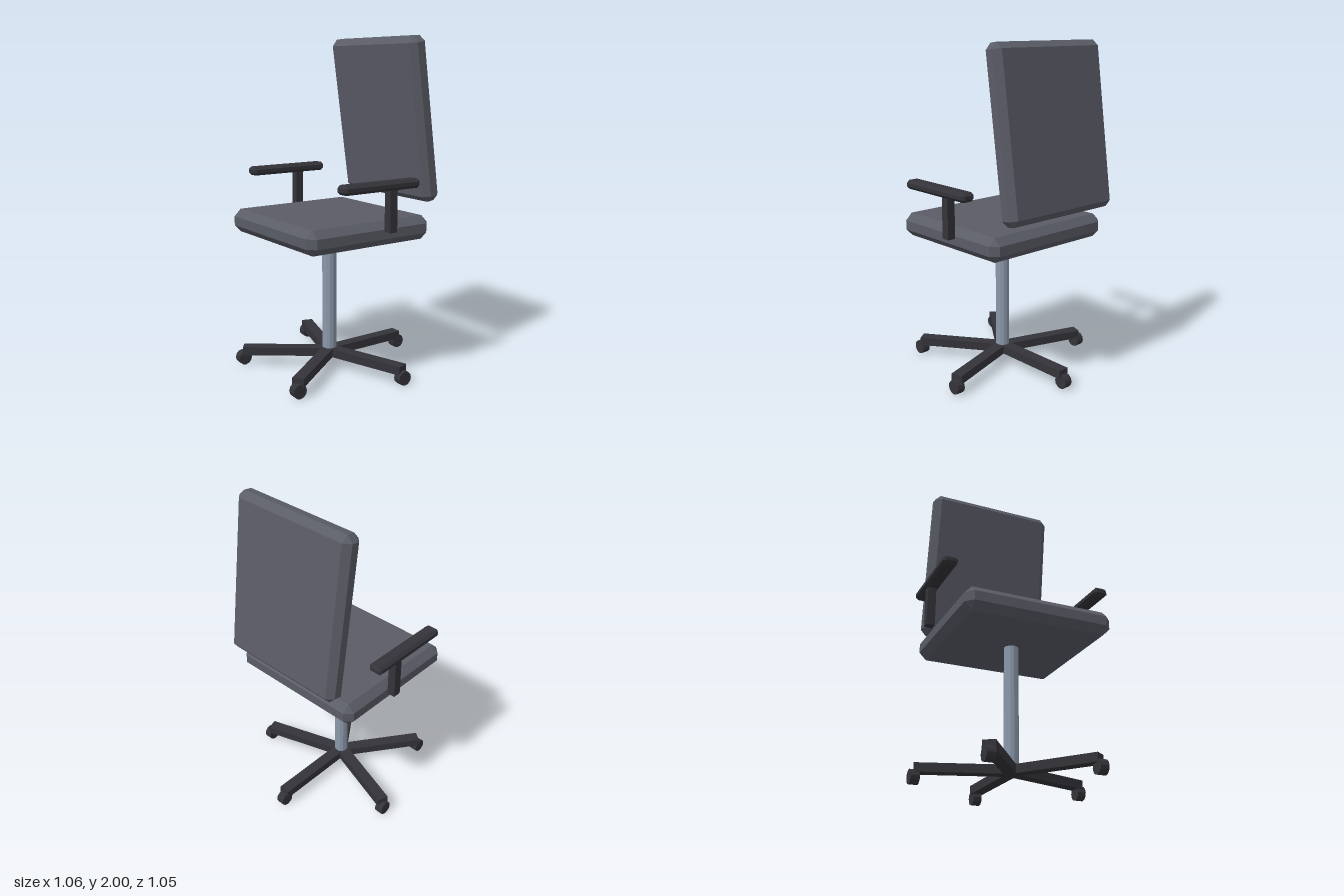
import * as THREE from 'three';
import { ConvexGeometry } from 'three/addons/geometries/ConvexGeometry.js';

const flat = (name, color) => new THREE.MeshStandardMaterial({ name, color, flatShading: true });

// Box with one flat chamfer on every edge and a triangle at every corner
function chamferBox(w, h, d, bevel) {
  const half = [w / 2, h / 2, d / 2];
  const points = [];
  for (const sx of [-1, 1]) for (const sy of [-1, 1]) for (const sz of [-1, 1]) {
    for (let axis = 0; axis < 3; axis++) {
      const p = half.map((v, i) => (i === axis ? v : v - bevel));
      points.push(new THREE.Vector3(sx * p[0], sy * p[1], sz * p[2]));
    }
  }
  return new ConvexGeometry(points);
}

export function createModel() {
  const model = new THREE.Group();
  model.name = 'officeChair';

  const cushion = flat('cushionGrey', 0x5a5c66);
  const frame = flat('darkPlastic', 0x343339);
  const metal = flat('columnSteel', 0x8c99aa);

  const add = (parent, name, geometry, material, x, y, z) => {
    const mesh = new THREE.Mesh(geometry, material);
    mesh.name = name;
    mesh.position.set(x, y, z);
    parent.add(mesh);
    return mesh;
  };

  // Cushions: seat and forward-leaning backrest
  add(model, 'seat', chamferBox(0.886, 0.142, 0.852, 0.043), cushion, 0, 0.892, 0.051);
  const back = add(model, 'backrest', chamferBox(0.814, 0.973, 0.122, 0.037), cushion, 0, 1.515, -0.362);
  back.rotation.x = 0.14;

  // Armrests: chamfered pad on a square post, mirrored
  for (const side of [-1, 1]) {
    const arm = new THREE.Group();
    arm.name = side > 0 ? 'leftArmrest' : 'rightArmrest';
    add(arm, 'armPad', chamferBox(0.087, 0.053, 0.528, 0.016), frame, side * 0.481, 1.177, 0.047);
    add(arm, 'armPost', new THREE.BoxGeometry(0.05, 0.25, 0.05), frame, side * 0.482, 1.036, -0.035);
    model.add(arm);
  }

  // Central column
  add(model, 'column', new THREE.CylinderGeometry(0.043, 0.043, 0.75, 12), metal, 0, 0.465, 0.049);

  // Five-star base; all casters roll front to back
  const base = new THREE.Group();
  base.name = 'base';
  base.position.z = 0.049;
  const legLength = 0.534;
  const legGeometry = new THREE.BoxGeometry(0.071, 0.051, legLength).translate(0, 0, legLength / 2);
  const wheelGeometry = new THREE.CylinderGeometry(0.0425, 0.0425, 0.051, 12).rotateZ(Math.PI / 2);
  for (let i = 0; i < 5; i++) {
    const angle = Math.PI + (i * Math.PI * 2) / 5;
    add(base, 'baseLeg', legGeometry, frame, 0, 0.089, 0).rotation.y = angle;
    add(base, 'caster', wheelGeometry, frame, Math.sin(angle) * 0.533, 0.0425, Math.cos(angle) * 0.533);
  }
  model.add(base);

  return model;
}
